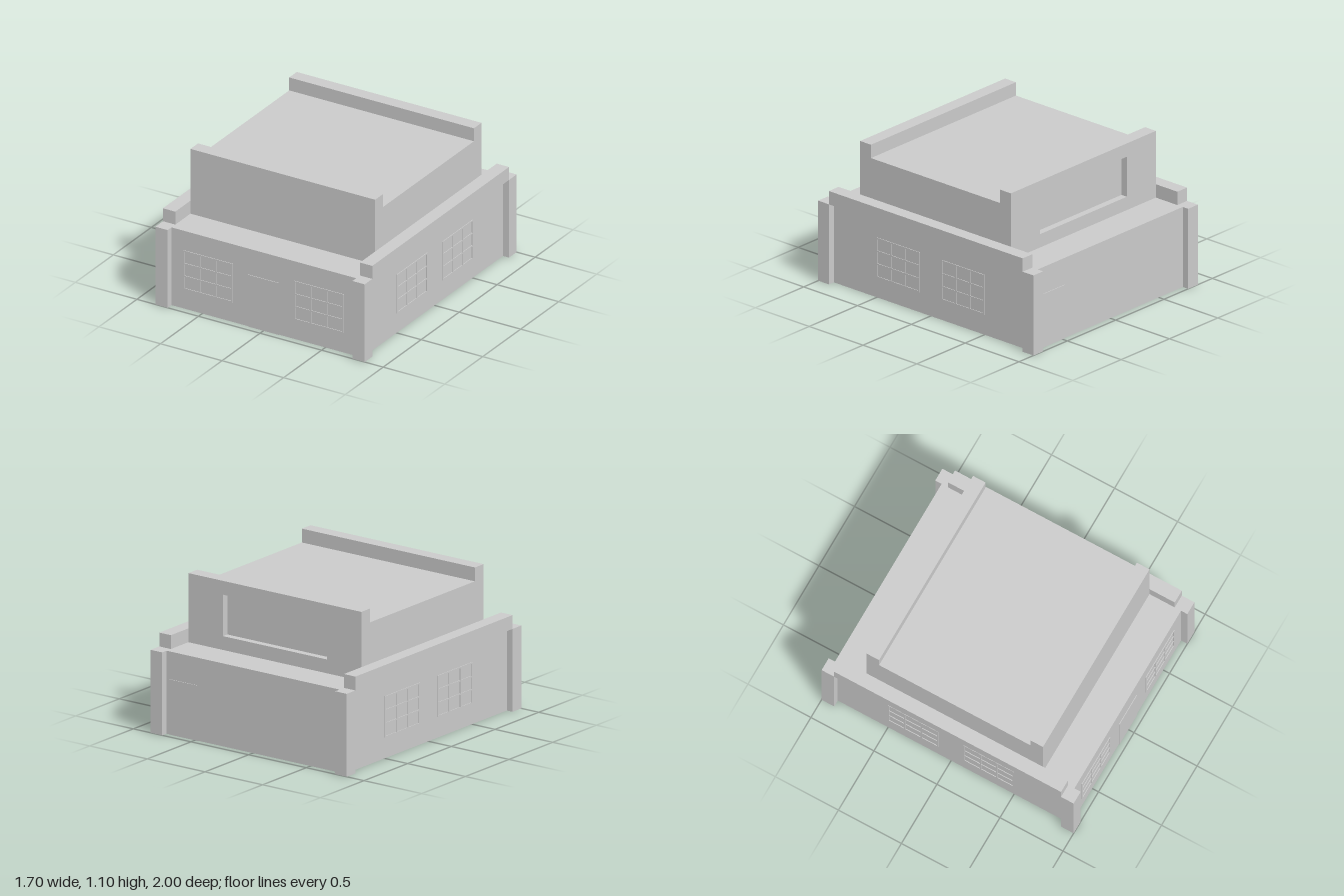
import * as THREE from 'three';

const mat = new THREE.MeshStandardMaterial({ color: 0xcccccc, flatShading: true, side: THREE.DoubleSide });

function add(parent, name, geometry, x = 0, y = 0, z = 0) {
  const mesh = new THREE.Mesh(geometry, mat);
  mesh.name = name;
  mesh.position.set(x, y, z);
  parent.add(mesh);
  return mesh;
}

const box = (w, h, d) => new THREE.BoxGeometry(w, h, d);
const sheet = (w, h) => new THREE.PlaneGeometry(w, h);
const floorSheet = (w, d) => sheet(w, d).rotateX(-Math.PI / 2);

// Window lattice, 3 x 3 panes, standing slightly proud of both wall faces
function makeWindow(w = 0.4, h = 0.3, bar = 0.01, depth = 0.01) {
  const group = new THREE.Group();
  group.name = 'window';
  for (let i = 0; i <= 3; i++) {
    const t = i / 3 - 0.5;
    add(group, 'windowUpright', box(bar, h, depth), t * (w - bar));
    add(group, 'windowRail', box(w, bar, depth), 0, t * (h - bar));
  }
  return group;
}

// Upper end wall with a shallow rectangular niche on its rear face
function makeEndWall() {
  const group = new THREE.Group();
  group.name = 'upperEndWall';
  const outline = new THREE.Shape([[-0.75, 0.6], [0.75, 0.6], [0.75, 1.1], [-0.75, 1.1]].map(p => new THREE.Vector2(...p)));
  outline.holes.push(new THREE.Path([[-0.45, 0.7], [-0.45, 1], [0.45, 1], [0.45, 0.7]].map(p => new THREE.Vector2(...p))));
  add(group, 'nicheSurround', new THREE.ExtrudeGeometry(outline, { depth: 0.05, bevelEnabled: false }), 0, 0, -0.05);
  add(group, 'nicheBack', box(1.5, 0.5, 0.05), 0, 0.85, 0.025);
  return group;
}

export function createModel() {
  const model = new THREE.Group();
  model.name = 'building';

  for (const s of [-1, 1]) {
    // Lower walls, open underneath
    add(model, s > 0 ? 'frontWall' : 'backWall', sheet(1.6, 0.6), 0, 0.3, s * 0.95).rotation.y = s > 0 ? 0 : Math.PI;
    add(model, 'sideWall', sheet(1.9, 0.6), s * 0.8, 0.3, 0).rotation.y = s * Math.PI / 2;

    // Side parapets, lower roof strips and upper side walls
    add(model, 'sideParapet', box(0.1, 0.1, 1.8), s * 0.8, 0.65, 0);
    add(model, 'lowerRoof', floorSheet(1.5, 0.25), 0, 0.6, s * 0.825);
    add(model, 'upperSideWall', sheet(1.4, 0.4), s * 0.75, 0.8, 0).rotation.y = s * Math.PI / 2;

    // Upper end walls share one orientation
    const endWall = makeEndWall();
    endWall.position.z = s * 0.65;
    model.add(endWall);

    for (const t of [-1, 1]) {
      add(model, 'cornerPost', box(0.1, 0.6, 0.1), s * 0.8, 0.3, t * 0.95);

      const sideWindow = makeWindow();
      sideWindow.position.set(s * 0.8, 0.3, t * 0.3);
      sideWindow.rotation.y = Math.PI / 2;
      model.add(sideWindow);
    }

    const frontWindow = makeWindow();
    frontWindow.position.set(s * 0.45, 0.3, 0.95);
    model.add(frontWindow);
  }

  // Upper roof and doors
  add(model, 'upperRoof', floorSheet(1.5, 1.2), 0, 1, 0);
  add(model, 'frontDoor', box(0.25, 0.4, 0.01), 0, 0.2, 0.95);
  add(model, 'backDoor', box(0.25, 0.4, 0.01), 0.6, 0.2, -0.95);

  return model;
}
